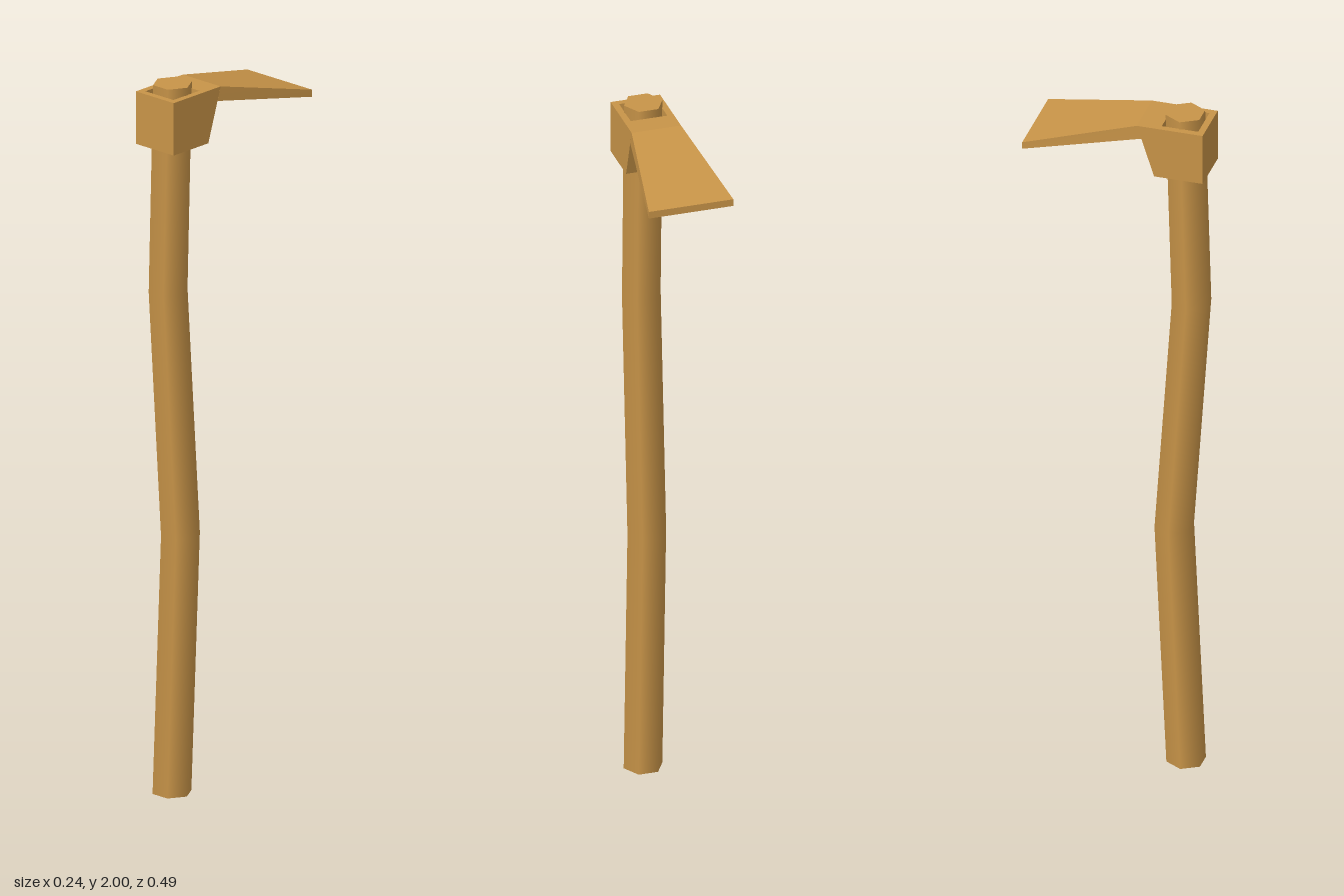
import * as THREE from 'three';

const wood = new THREE.MeshStandardMaterial({ color: 0xc89448 });
wood.name = 'warmBrown';

// Move every vertex of a geometry by a rule
function moveVertices(geometry, rule) {
  const p = geometry.attributes.position;
  const v = new THREE.Vector3();
  for (let i = 0; i < p.count; i++) {
    rule(v.fromBufferAttribute(p, i));
    p.setXYZ(i, v.x, v.y, v.z);
  }
  return geometry;
}

function part(name, geometry) {
  const mesh = new THREE.Mesh(geometry, wood);
  mesh.name = name;
  return mesh;
}

// Hexagonal shaft, smooth sides, bent gently forward and back
function handleGeometry() {
  const rings = [[0, 0.176], [0.72, 0.143], [1.42, 0.191], [2, 0.174]]; // [y, z]
  const geometry = new THREE.CylinderGeometry(0.054, 0.054, 3, 6, 3);
  geometry.rotateY(Math.PI / 6).translate(0, 1.5, 0);
  return moveVertices(geometry, (v) => {
    const [y, z] = rings[Math.round(v.y)];
    v.y = y;
    v.z += z;
  });
}

function rectangle(path, halfWidth, back, front) {
  path.moveTo(-halfWidth, -front);
  path.lineTo(halfWidth, -front);
  path.lineTo(halfWidth, -back);
  path.lineTo(-halfWidth, -back);
  path.closePath();
  return path;
}

// Block with a square through-hole and a slanted rear face
function socketGeometry() {
  const shape = rectangle(new THREE.Shape(), 0.069, 0.06, 0.243);
  shape.holes.push(rectangle(new THREE.Path(), 0.051, 0.124, 0.225));
  const geometry = new THREE.ExtrudeGeometry(shape, { depth: 0.148, bevelEnabled: false });
  geometry.rotateX(-Math.PI / 2).translate(0, 1.83, 0);
  moveVertices(geometry, (v) => {
    if (v.y < 1.9 && v.z < 0.1) v.z = 0.108;
  });
  geometry.computeVertexNormals();
  return geometry;
}

// Flared plate sloping down behind the socket
function bladeGeometry() {
  const geometry = moveVertices(new THREE.BoxGeometry(1, 1, 1), (v) => {
    const top = v.y > 0;
    const root = v.z > 0;
    v.x = Math.sign(v.x) * (root ? 0.069 : 0.118);
    v.y = root ? (top ? 1.978 : 1.94) : (top ? 1.902 : 1.882);
    v.z = root ? (top ? 0.06 : 0.072) : -0.244;
  });
  geometry.computeVertexNormals();
  return geometry;
}

export function createModel() {
  const model = new THREE.Group();
  model.name = 'hoe';
  const head = new THREE.Group();
  head.name = 'head';
  head.add(part('socket', socketGeometry()), part('blade', bladeGeometry()));
  model.add(part('handle', handleGeometry()), head);
  return model;
}
